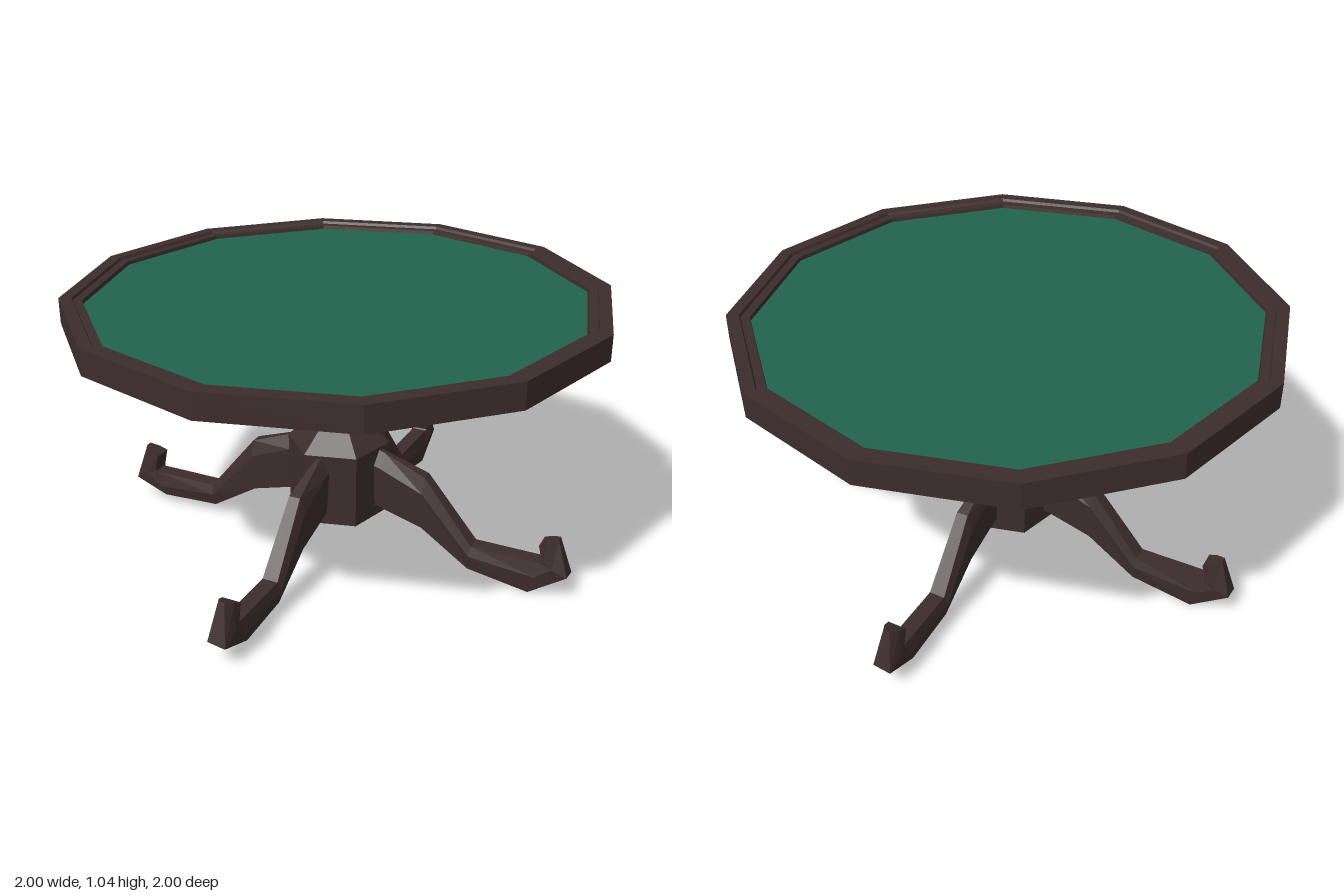
import * as THREE from 'three';

// Join equal-length rings of points into a closed, faceted solid
function loft(rings) {
  const n = rings[0].length;
  const pos = [];
  const tri = (...pts) => pts.forEach((p) => pos.push(...p));
  for (let i = 0; i < rings.length - 1; i++) {
    for (let j = 0; j < n; j++) {
      const k = (j + 1) % n;
      const a = rings[i][j], b = rings[i][k], c = rings[i + 1][j], d = rings[i + 1][k];
      tri(a, c, b);
      tri(b, c, d);
    }
  }
  const first = rings[0], last = rings[rings.length - 1];
  for (let j = 1; j < n - 1; j++) {
    tri(first[0], first[j], first[j + 1]);
    tri(last[0], last[j + 1], last[j]);
  }
  const g = new THREE.BufferGeometry();
  g.setAttribute('position', new THREE.Float32BufferAttribute(pos, 3));
  g.computeVertexNormals();
  return g;
}

function faceted(geometry) {
  const g = geometry.toNonIndexed();
  g.computeVertexNormals();
  return g;
}

// Hexagonal column ring, turned by an angle in degrees
function hexRing([y, r, turn]) {
  return Array.from({ length: 6 }, (_, i) => {
    const a = THREE.MathUtils.degToRad(turn + i * 60);
    return [r * Math.sin(a), y, r * Math.cos(a)];
  });
}

// Leg section running from a top point to a bottom point in the z-y plane
function legRing([tz, ty, bz, by, topW, midW, lowW, mid, skew]) {
  const mz = tz + (bz - tz) * mid, my = ty + (by - ty) * mid;
  return [
    [-topW, ty, tz], [topW, ty, tz], [midW, my, mz],
    [lowW, by + skew, bz], [-lowW, by, bz], [-midW, my, mz],
  ];
}

export function createModel() {
  const wood = new THREE.MeshStandardMaterial({ color: 0x3d2d2d });
  wood.name = 'dark wood';
  const felt = new THREE.MeshStandardMaterial({ color: 0x21644e });
  felt.name = 'green felt';

  const table = new THREE.Group();
  table.name = 'roundTable';
  const add = (name, geometry, material) => {
    const mesh = new THREE.Mesh(geometry, material);
    mesh.name = name;
    table.add(mesh);
    return mesh;
  };

  // Twelve-sided top with a stepped rim and a shallow recess underneath
  const topProfile = [
    [0, 0.98], [0.48, 0.98], [0.48, 0.945], [1, 0.945], [1, 1.04],
    [0.955, 1.04], [0.95, 1.03], [0.918, 1.03], [0.915, 1.015],
  ].map(([r, y]) => new THREE.Vector2(r, y));
  add('tableTop', faceted(new THREE.LatheGeometry(topProfile, 12)), wood);

  // Playing surface
  const surface = new THREE.CircleGeometry(0.916, 12);
  surface.rotateX(-Math.PI / 2);
  add('feltSurface', surface, felt).position.y = 1.016;

  // Turned column widening into the hub
  add('column', loft([
    [0.985, 0.147, 0], [0.945, 0.138, 0], [0.84, 0.108, 0], [0.64, 0.172, 0],
    [0.555, 0.08, -15], [0.455, 0.197, -15], [0.17, 0.193, -15],
  ].map(hexRing)), wood);

  // Four curved legs with upturned toes
  const legGeometry = loft([
    [0.1, 0.47, 0.1, 0.22, 0.008, 0.04, 0.03, 0.25, 0],
    [0.2, 0.435, 0.18, 0.215, 0.01, 0.04, 0.03, 0.25, 0],
    [0.365, 0.375, 0.36, 0.165, 0.022, 0.04, 0.03, 0.3, 0],
    [0.56, 0.135, 0.55, 0.037, 0.03, 0.042, 0.03, 0.4, 0.01],
    [0.83, 0.135, 0.79, 0.004, 0.03, 0.042, 0.036, 0.45, 0.035],
    [0.835, 0.14, 0.93, 0.1, 0.035, 0.042, 0.034, 0.4, -0.01],
    [0.82, 0.21, 0.885, 0.24, 0.036, 0.03, 0.012, 0.5, 0],
  ].map(legRing));
  ['frontLeg', 'leftLeg', 'backLeg', 'rightLeg'].forEach((name, i) => {
    add(name, legGeometry, wood).rotation.y = (i * Math.PI) / 2;
  });

  return table;
}
